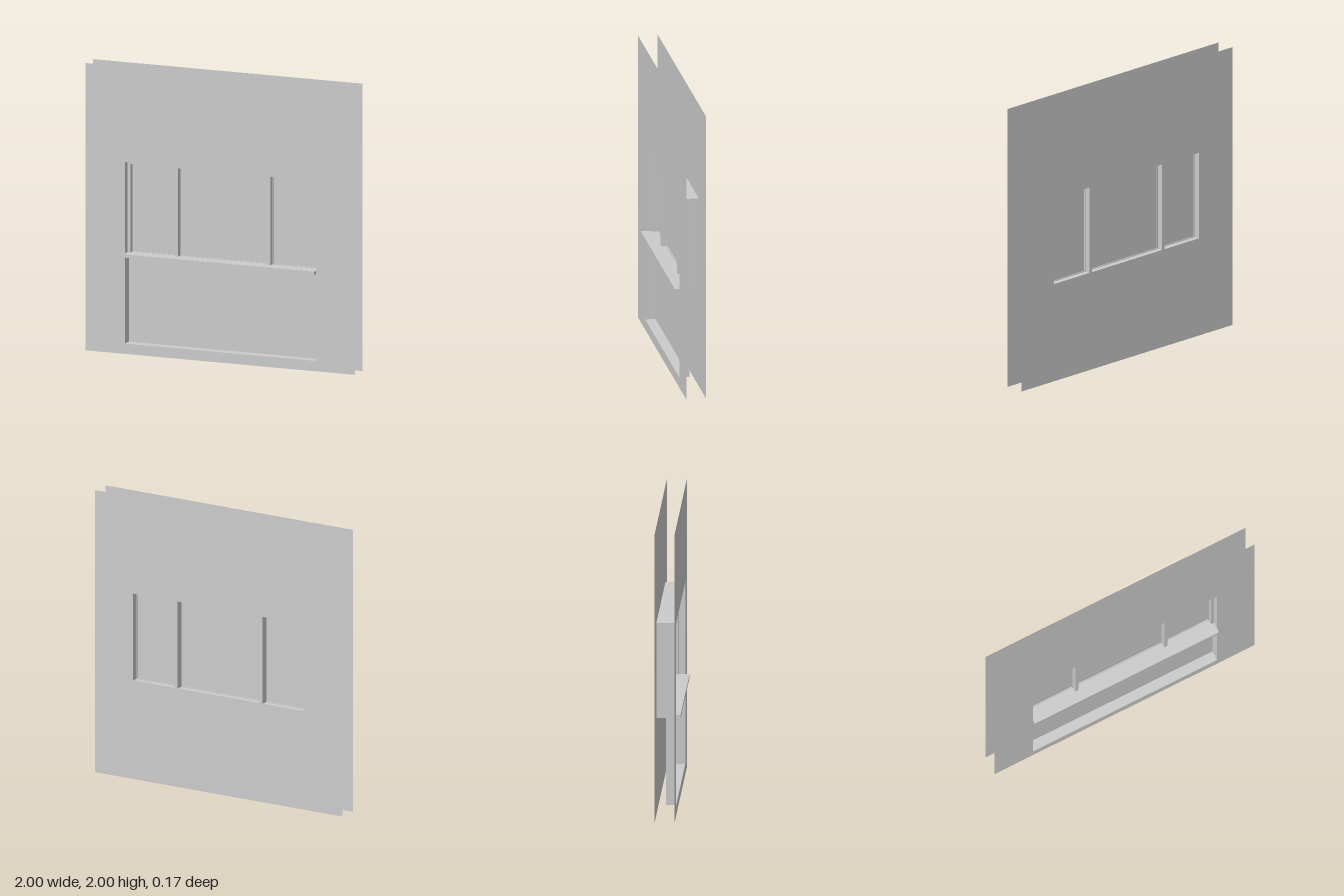
import * as THREE from 'three';

const FRONT = 0.053, BACK = -0.083;      // the two wall skins
const FACE = 0.006, PANEL = -0.018;      // window frame face, niche back
const X0 = -0.706, X1 = 0.712;           // recess sides
const Y0 = 0.072, SILL0 = 0.677, SILL1 = 0.699, HEAD = 1.315, Y1 = 1.335;
const LIGHTS = [[-0.684, -0.355], [-0.332, 0.331], [0.354, 0.691]];

const material = new THREE.MeshStandardMaterial({ color: 0xcccccc, side: THREE.DoubleSide });

function rect(T, x0, x1, y0, y1) {
  return new T([[x0, y0], [x1, y0], [x1, y1], [x0, y1]].map(([x, y]) => new THREE.Vector2(x, y)));
}

// rectangle with rectangular holes, each given as [x0, x1, y0, y1]
function pierced(outer, holes) {
  const shape = rect(THREE.Shape, ...outer);
  shape.holes = holes.map(h => rect(THREE.Path, ...h));
  return shape;
}

export function createModel() {
  const model = new THREE.Group();
  model.name = 'windowWall';

  const add = (name, geometry, x = 0, y = 0, z = 0) => {
    const mesh = new THREE.Mesh(geometry, material);
    mesh.name = name;
    mesh.position.set(x, y, z);
    model.add(mesh);
    return mesh;
  };
  const box = (name, x0, x1, y0, y1, z0, z1) => add(name,
    new THREE.BoxGeometry(x1 - x0, y1 - y0, z1 - z0), (x0 + x1) / 2, (y0 + y1) / 2, (z0 + z1) / 2);
  const slab = (name, shape, z0, z1) => add(name,
    new THREE.ExtrudeGeometry(shape, { depth: z1 - z0, bevelEnabled: false }), 0, 0, z0);
  const openings = inset => LIGHTS.map(([a, b]) => [a + inset, b - inset, SILL1 + inset, HEAD - inset]);

  // wall skins
  const wall = [-1, 1, 0, 2];
  add('frontWall', new THREE.ShapeGeometry(pierced(wall, [[X0, X1, Y0, Y1]])), 0, 0, FRONT);
  add('backWall', new THREE.ShapeGeometry(pierced(wall, openings(0))), 0, 0, BACK);

  // window frame with mullions, glazing beads and panes
  slab('windowFrame', pierced([X0, X1, SILL0, Y1], openings(0)), BACK + 0.001, FACE);
  openings(0).forEach((o, i) => {
    const [x0, x1, y0, y1] = o, e = 0.005;
    slab('glazingBead', pierced(o, [[x0 + e, x1 - e, y0 + e, y1 - e]]), -0.042, -0.028);
    add('pane' + (i + 1), new THREE.PlaneGeometry(x1 - x0, y1 - y0), (x0 + x1) / 2, (y0 + y1) / 2, -0.035);
  });

  // projecting sill
  box('sill', X0, X1, SILL0, SILL1, PANEL, 0.083);

  // thin linings around the upper reveal and the lower niche
  const lining = (name, w, d, x, y, z, turn) => {
    const mesh = add(name, new THREE.PlaneGeometry(w, d), x, y, z);
    mesh.rotation[turn] = Math.PI / 2;
  };
  const cx = (X0 + X1) / 2, width = X1 - X0;
  for (const x of [X0, X1]) {
    lining('revealSide', FRONT - FACE, Y1 - SILL0, x, (Y1 + SILL0) / 2, (FRONT + FACE) / 2, 'y');
    lining('nicheSide', FRONT - PANEL, SILL0 - Y0, x, (SILL0 + Y0) / 2, (FRONT + PANEL) / 2, 'y');
  }
  lining('revealHead', width, FRONT - FACE, cx, Y1, (FRONT + FACE) / 2, 'x');
  lining('nicheFloor', width, FRONT - PANEL, cx, Y0, (FRONT + PANEL) / 2, 'x');
  add('nichePanel', new THREE.PlaneGeometry(width, SILL0 - Y0), cx, (SILL0 + Y0) / 2, PANEL);

  return model;
}
